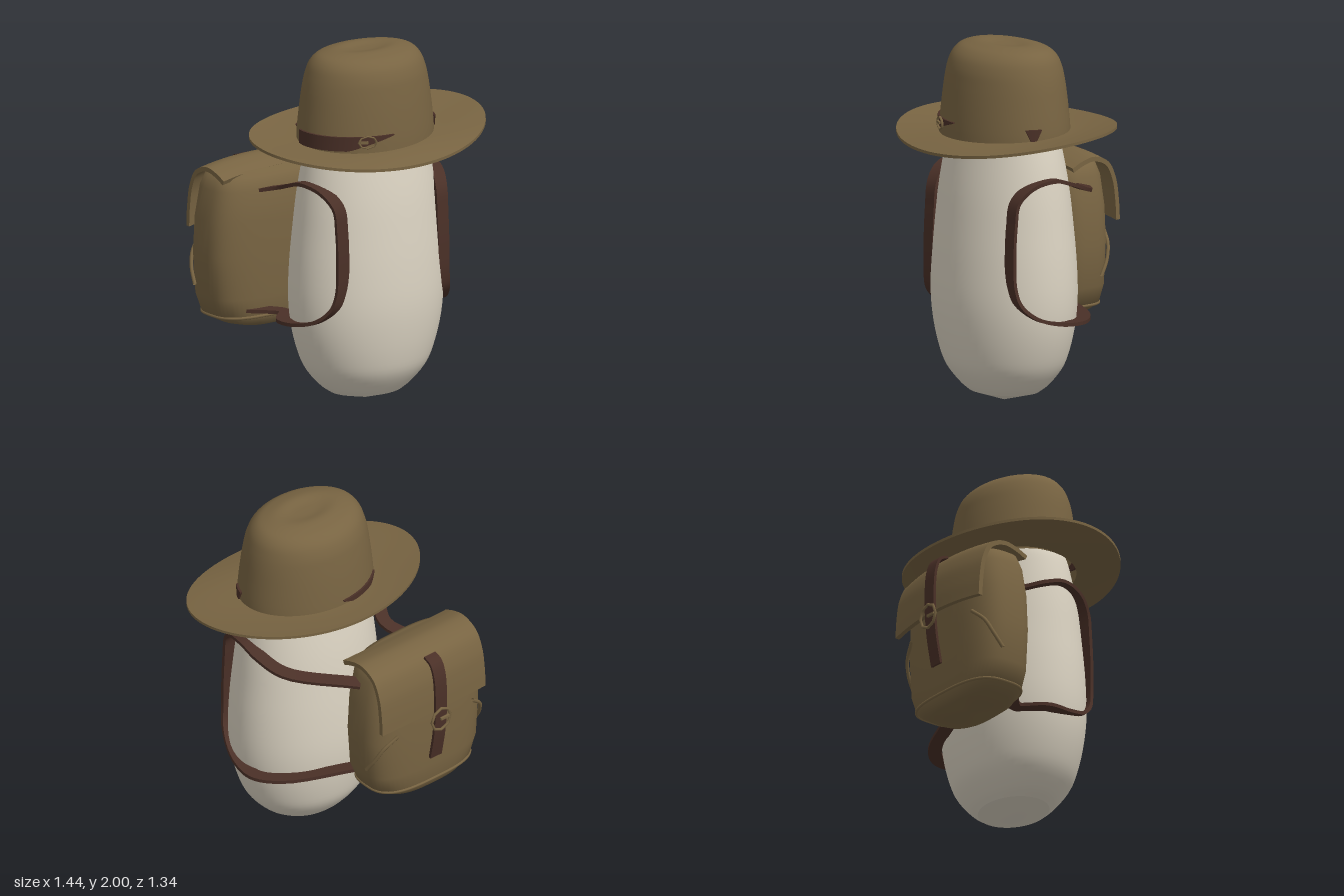
import * as THREE from 'three';
import { toCreasedNormals } from 'three/addons/utils/BufferGeometryUtils.js';

const V = (x, y, z) => new THREE.Vector3(x, y, z);
const rad = THREE.MathUtils.degToRad;

// Move every vertex of a geometry by a rule, then shade smoothly with sharp edges kept
function warp(geo, rule, crease = 0.8) {
  const p = geo.attributes.position;
  for (let i = 0; i < p.count; i++) {
    const v = rule(p.getX(i), p.getY(i), p.getZ(i));
    p.setXYZ(i, v.x, v.y, v.z);
  }
  return toCreasedNormals(geo, crease);
}

// Stack of (super)elliptic rings; rows are [y, halfWidthX, halfWidthZ], bottom to top
function rings(rows, cx, cz, power = 1, crease = 0.8) {
  const n = rows.length - 1;
  return warp(new THREE.CylinderGeometry(1, 1, 1, 56, n, true), (x, y, z) => {
    const r = rows[Math.round((y + 0.5) * n)];
    const sx = Math.sign(x) * Math.pow(Math.abs(x), power);
    const sz = Math.sign(z) * Math.pow(Math.abs(z), power);
    return V(cx + r[1] * sx, r[0], cz + r[2] * sz);
  }, crease);
}

// Smoothly resample a few rows
const smooth = (rows, n) =>
  new THREE.CatmullRomCurve3(rows.map(r => V(...r)), false, 'centripetal')
    .getPoints(n).map(p => [p.y === undefined ? 0 : p.x, Math.max(0, p.y), Math.max(0, p.z)]);

// Flat band swept along a path, its width lying along x; bow bends the sides back
function ribbon(points, width, thick, segs = 48, bow = 0) {
  const curve = new THREE.CatmullRomCurve3(points, false, 'centripetal');
  return warp(new THREE.BoxGeometry(1, 1, 1, bow ? 12 : 1, 1, segs), (a, b, c) => {
    const t = THREE.MathUtils.clamp(c + 0.5, 0, 1);
    const T = curve.getTangent(t);
    const W = V(1, 0, 0).addScaledVector(T, -T.x).normalize();
    const N = T.clone().cross(W);
    const p = curve.getPoint(t).addScaledVector(W, a * width).addScaledVector(N, b * thick);
    const k = 4 * a * a * bow;
    return p.add(V(0, -k * 0.8, k));
  });
}

export function createModel() {
  const root = new THREE.Group();
  const mat = (name, color) => {
    const m = new THREE.MeshStandardMaterial({ color, side: THREE.DoubleSide });
    m.name = name;
    return m;
  };
  const cream = mat('cream', 0xdad2c1);
  const olive = mat('olive brown', 0x786442);
  const leather = mat('dark leather', 0x4a3027);
  const add = (name, geo, material, parent = root) => {
    const m = new THREE.Mesh(geo, material);
    m.name = name;
    parent.add(m);
    return m;
  };
  const group = name => {
    const g = new THREE.Group();
    g.name = name;
    root.add(g);
    return g;
  };

  // Body: tall egg with a shallow base cone
  const bx = -0.015, bz = 0.165;
  const body = [[0.06, 0.22, 0.18], [0.1, 0.275, 0.222], [0.2, 0.36, 0.293], [0.3, 0.405, 0.323],
    [0.45, 0.445, 0.347], [0.6, 0.46, 0.357], [0.8, 0.455, 0.35], [1.0, 0.437, 0.333], [1.2, 0.415, 0.31],
    [1.4, 0.38, 0.275], [1.52, 0.345, 0.25], [1.62, 0.27, 0.2], [1.68, 0.15, 0.11], [1.7, 0, 0]];
  add('body', rings(smooth(body, 48), bx, bz), cream);
  add('bodyBase', rings([[0, 0, 0], [0.06, 0.22, 0.18]], bx, bz), cream);

  // Hat crown, open underneath
  const hat = group('hat');
  const hx = -0.015, hz = 0.16, ha = 0.405, hb = 0.325;
  const crown = [[1.475, 1, 1], [1.55, 0.995, 0.99], [1.7, 0.955, 0.95], [1.8, 0.92, 0.91], [1.87, 0.88, 0.87],
    [1.93, 0.825, 0.79], [1.97, 0.74, 0.66], [1.99, 0.62, 0.5], [2.0, 0.45, 0.34], [1.99, 0.2, 0.15], [1.988, 0, 0]]
    .map(([y, a, b]) => [y, a * ha, b * hb]);
  add('crown', rings(smooth(crown, 40), hx, hz, 1, 1.2), olive, hat);

  // Brim: drooping at the front, lifted at the sides
  add('brim', warp(new THREE.BoxGeometry(1, 1, 1, 10, 1, 96), (a, b, c) => {
    const t = a + 0.5, th = c * Math.PI * 2, C = Math.cos(th), S = Math.sin(th);
    const inner = 1.497 + 0.012 * C - 0.02 * S;
    const outer = 1.517 + 0.026 * Math.cos(2 * th) + 0.022 * C - 0.0525 * S;
    const y = inner + (outer - inner) * Math.pow(t, 1.4) + b * (0.026 - 0.01 * t);
    return V(THREE.MathUtils.lerp(hx + 0.395 * C, 0.716 * C, t), y,
      hz + THREE.MathUtils.lerp(0.315, 0.512, t) * S);
  }), olive, hat);

  // Hat band: the lengths that stand proud of the crown [from, to, top, taper start, taper end]
  const bands = [[97, 192, 1.58, 1, 0], [220, 270, 1.56, 1, 1], [13, 28, 1.578, 1, 1]];
  for (const [a0, a1, top, f0, f1] of bands) {
    add('hatBand', warp(new THREE.BoxGeometry(1, 1, 1, 1, 1, 24), (a, b, c) => {
      const t = c + 0.5, th = rad(a0 + (a1 - a0) * t);
      const pinch = Math.max(f0 * (1 - t / 0.4), f1 * (t / 0.4 - 1.5), 0);
      const low = THREE.MathUtils.lerp(1.5, top - 0.006, pinch);
      const r = a > 0 ? 1.02 : 0.95;
      return V(hx + ha * r * Math.cos(th), b > 0 ? top : low, hz + hb * r * Math.sin(th));
    }), leather, hat);
  }

  // Buckles: angular ring with a prong
  const buckle = (name, parent, pos, rx, ry, turn) => {
    const g = new THREE.Group();
    g.name = name;
    g.position.copy(pos);
    g.rotation.y = turn;
    parent.add(g);
    const frame = add('buckleFrame', new THREE.TorusGeometry(1, 0.13, 6, 8), olive, g);
    frame.rotation.z = 0;
    frame.scale.set(rx, ry, 0.06);
    add('buckleProng', new THREE.BoxGeometry(rx * 0.9, 0.014, 0.014), olive, g).position.x = -rx * 0.4;
  };
  buckle('hatBuckle', hat, V(-0.22, 1.55, 0.452), 0.05, 0.034, rad(-25));

  // Pack body, worn off to one side
  const pack = group('backpack');
  const px = -0.322, pz = -0.39, pw = 0.396, pd = 0.2, pow = 0.66;
  const packRows = [[0.39, 0, 0], [0.39, 0.5, 0.75], [0.41, 0.68, 0.87], [0.45, 0.85, 0.94], [0.56, 0.96, 0.98],
    [0.8, 1, 1], [1.0, 0.97, 0.99], [1.17, 0.89, 0.93], [1.24, 0.82, 0.8], [1.265, 0.7, 0.6], [1.275, 0, 0]]
    .map(([y, a, b]) => [y, a * pw, b * pd]);
  add('packBody', rings(packRows, px, pz, pow, 1), olive, pack);

  // Point on the pack's wall, for trim that follows it
  const onPack = (deg, y, out) => {
    const i = packRows.findIndex((r, k) => k > 0 && r[0] >= y), p = packRows[i - 1], q = packRows[i];
    const f = (y - p[0]) / (q[0] - p[0]), c = Math.cos(rad(deg)), s = Math.sin(rad(deg));
    const lx = p[1] + (q[1] - p[1]) * f + out, lz = p[2] + (q[2] - p[2]) * f + out;
    return V(px + lx * Math.sign(c) * Math.pow(Math.abs(c), pow), y,
      pz + lz * Math.sign(s) * Math.pow(Math.abs(s), pow));
  };

  // Piping round the base and a short cord on each back corner
  const seam = Array.from({ length: 48 }, (_, i) => onPack(i * 7.5, 0.452, 0));
  add('basePiping', new THREE.TubeGeometry(new THREE.CatmullRomCurve3(seam, true), 96, 0.009, 6, true), olive, pack);
  for (const side of [0, 1]) {
    const cord = [[58, 0.85], [40, 0.78], [26, 0.7], [11, 0.62]]
      .map(([d, y]) => onPack(side ? 180 + d : -d, y, 0.012));
    add('sideCord', new THREE.TubeGeometry(new THREE.CatmullRomCurve3(cord), 16, 0.011, 6), olive, pack);
  }

  // Flap folded over the top and down the back
  const flap = [[1.255, -0.29], [1.285, -0.36], [1.3, -0.44], [1.262, -0.535], [1.17, -0.583], [1.05, -0.603], [0.94, -0.61]];
  add('flap', ribbon(flap.map(([y, z]) => V(-0.302, y, z)), 0.735, 0.026, 32, 0.028), olive, pack);

  // Closing strap with its buckle
  const closing = [[1.27, -0.55], [1.25, -0.6], [1.18, -0.632], [1.0, -0.645], [0.8, -0.632], [0.62, -0.6]];
  add('closingStrap', ribbon(closing.map(([y, z]) => V(-0.305, y, z)), 0.08, 0.016), leather, pack);
  buckle('packBuckle', pack, V(-0.3, 0.9, -0.657), 0.066, 0.07, 0);

  // Shoulder straps [distance from the middle, y, z]; only the ends at the pack differ
  const loop = [[0.36, 1.2, -0.1], [0.415, 1.255, 0.05], [0.415, 1.287, 0.17], [0.385, 1.26, 0.3], [0.352, 1.18, 0.38],
    [0.345, 1.05, 0.4], [0.345, 0.85, 0.41], [0.35, 0.7, 0.405], [0.37, 0.61, 0.38], [0.41, 0.535, 0.3],
    [0.455, 0.495, 0.17], [0.465, 0.487, 0.03], [0.36, 0.488, -0.1]];
  const ends = [[1, 0.03, -0.02], [-1, -0.52, -0.55]];
  for (const [side, topX, lowX] of ends) {
    const path = loop.map(([x, y, z]) => V(bx + side * x, y, z));
    add(side > 0 ? 'leftShoulderStrap' : 'rightShoulderStrap',
      ribbon([V(topX, 1.13, -0.36), ...path, V(lowX, 0.495, -0.27)], 0.075, 0.02, 80), leather, pack);
  }
  return root;
}
